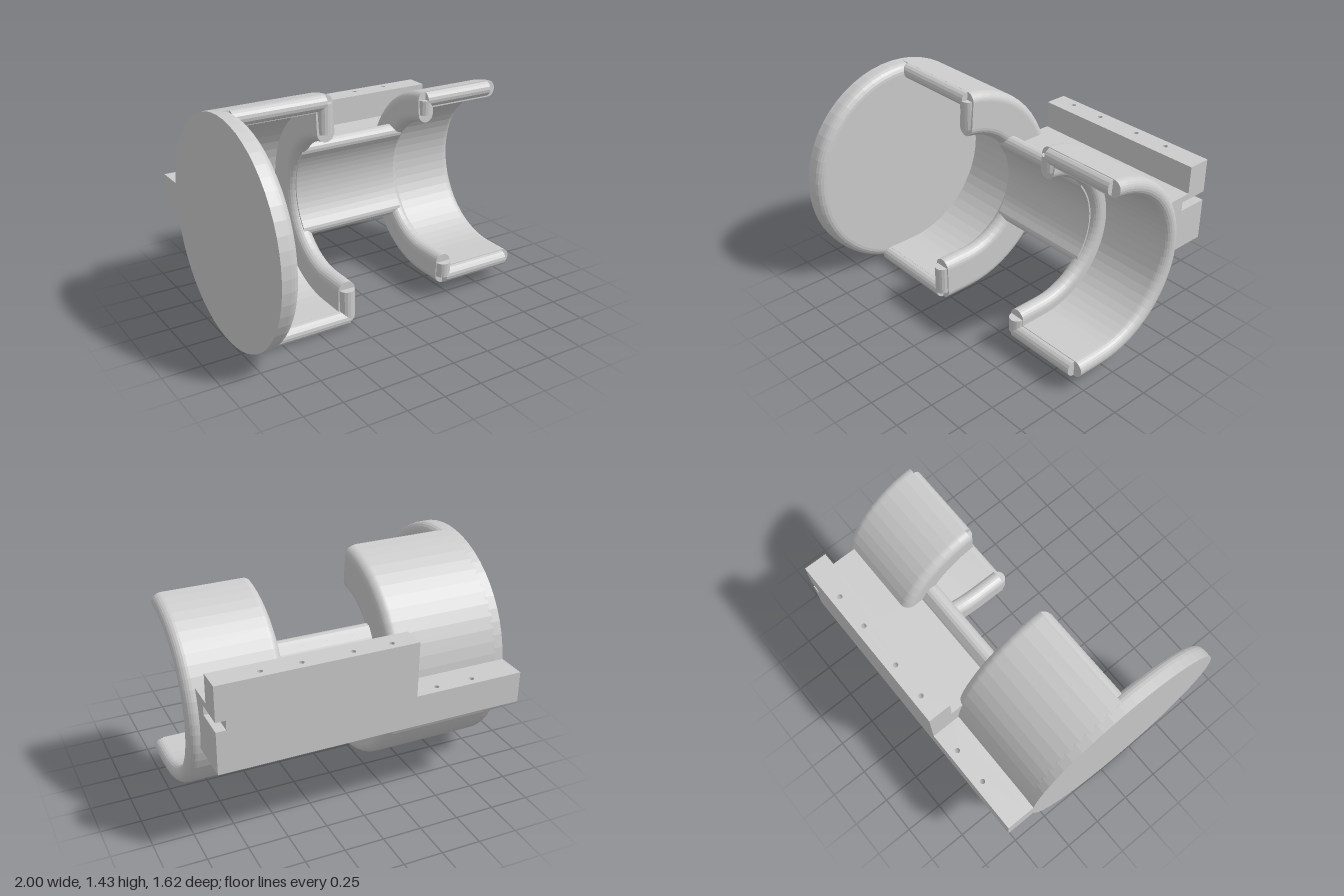
import * as THREE from 'three';

const CY = 0.72, CZ = 0.09; // axis of all clips (parallel to x)
const PI = Math.PI;

export function createModel() {
  const group = new THREE.Group();
  const mat = new THREE.MeshStandardMaterial({ color: 0xcccccc, flatShading: true });
  const add = (name, geo, x = 0, y = 0, z = 0) => {
    const m = new THREE.Mesh(geo, mat);
    m.name = name;
    m.position.set(x, y, z);
    group.add(m);
    return m;
  };

  // Sweep a closed (x, radius) section round the axis, then straight forward
  const sweep = (shape, a0, a1, forward, segs) => {
    const pts = shape.getPoints(6).filter((p, i, all) =>
      p.distanceTo(all[(i + 1) % all.length]) > 1e-5);
    const n = pts.length, pos = [], idx = [];
    const ring = (a, dz) => pts.forEach(p =>
      pos.push(p.x, CY + p.y * Math.cos(a), CZ - p.y * Math.sin(a) + dz));
    for (let j = 0; j <= segs; j++) ring(a0 + (a1 - a0) * j / segs, 0);
    if (forward) ring(a1, forward);
    const rings = pos.length / 3 / n;
    for (let j = 0; j < rings - 1; j++) {
      for (let i = 0; i < n; i++) {
        const a = j * n + i, b = j * n + (i + 1) % n;
        idx.push(a, a + n, b, b, a + n, b + n);
      }
    }
    const end = (rings - 1) * n;
    for (const [a, b, c] of THREE.ShapeUtils.triangulateShape(pts, [])) {
      idx.push(a, b, c, end + a, end + c, end + b);
    }
    const g = new THREE.BufferGeometry();
    g.setAttribute('position', new THREE.Float32BufferAttribute(pos, 3));
    g.setIndex(idx);
    g.computeVertexNormals();
    return g;
  };

  // Rolled lips on the open edges
  const lipX = (name, x0, x1, y, z) => {
    add(name, new THREE.CylinderGeometry(0.051, 0.051, x1 - x0, 16).rotateZ(PI / 2), (x0 + x1) / 2, y, z);
  };
  const lipY = (name, x, y0, y1, z) => {
    add(name, new THREE.CylinderGeometry(0.05, 0.05, y1 - y0, 16), x, (y0 + y1) / 2, z);
  };

  // End disc with a rounded inner rim
  const discProfile = [new THREE.Vector2(0, 0), new THREE.Vector2(0.715, 0)];
  for (let i = 0; i <= 5; i++) {
    const t = i / 5 * PI / 2;
    discProfile.push(new THREE.Vector2(0.655 + 0.06 * Math.cos(t), 0.06 + 0.06 * Math.sin(t)));
  }
  discProfile.push(new THREE.Vector2(0, 0.12));
  add('endDisc', new THREE.LatheGeometry(discProfile, 56).rotateZ(-PI / 2), -1, CY, CZ);

  // Large clip: wall plus inward flange
  const large = new THREE.Shape();
  large.moveTo(-0.95, 0.61);
  large.lineTo(-0.35, 0.61);
  large.lineTo(-0.35, 0.48);
  large.absarc(-0.29, 0.48, 0.06, PI, 2 * PI, false);
  large.lineTo(-0.23, 0.655);
  large.absarc(-0.29, 0.655, 0.06, 0, PI / 2, false);
  large.lineTo(-0.95, 0.715);
  large.closePath();
  add('largeClip', sweep(large, 0.08, PI, 0.19, 28));

  // Small clip: flange plus wall with a rounded outer rim
  const small = new THREE.Shape();
  small.moveTo(0.5, 0.51);
  small.lineTo(0.945, 0.51);
  small.absarc(0.945, 0.565, 0.055, -PI / 2, PI / 2, false);
  small.lineTo(0.445, 0.62);
  small.absarc(0.445, 0.565, 0.055, PI / 2, PI, false);
  small.lineTo(0.39, 0.475);
  small.absarc(0.445, 0.475, 0.055, PI, 2 * PI, false);
  small.closePath();
  add('smallClip', sweep(small, 0.08, PI, 0.19, 28));

  // Neck joining the two clips
  const neck = new THREE.Shape();
  neck.moveTo(-0.3, 0.41);
  neck.lineTo(0.45, 0.41);
  neck.lineTo(0.45, 0.51);
  neck.lineTo(-0.3, 0.51);
  neck.closePath();
  const neckA = 0.935;
  add('neck', sweep(neck, neckA, PI - neckA, 0, 14));

  for (const s of [1, -1]) {
    const z = s > 0 ? 0.03 : 0.28;
    lipX('largeClipLip', -0.9, -0.29, CY + s * 0.662, z);
    lipX('smallClipLip', 0.445, 0.94, CY + s * 0.565, z);
    lipX('neckLip', -0.3, 0.45, CY + s * 0.46 * Math.cos(neckA), CZ - 0.46 * Math.sin(neckA));
    for (const [x, r0, r1] of [[-0.29, 0.47, 0.66], [0.445, 0.47, 0.565]]) {
      lipY('flangeLip', x, Math.min(CY + s * r0, CY + s * r1), Math.max(CY + s * r0, CY + s * r1), z);
    }
  }

  // Mounting block in front of the rail, hollowed to meet each clip
  const block = (x0, x1, r, top, notch) => {
    const s = new THREE.Shape();
    s.moveTo(0.66, 0.6);
    if (notch) [[0.66, 0.87], [0.61, 0.87], [0.61, 0.93], [0.66, 0.93]].forEach(p => s.lineTo(...p));
    s.lineTo(0.66, top);
    s.absarc(-CZ, CY, r, Math.asin((top - CY) / r), Math.asin((0.6 - CY) / r), true);
    s.closePath();
    const g = new THREE.ExtrudeGeometry(s, { depth: x1 - x0, bevelEnabled: false, curveSegments: 8 });
    add('mountingBlock', g.rotateY(PI / 2), x0, 0, 0);
  };
  block(-1, -0.29, 0.66, 0.8, false);
  block(-0.29, 0.45, 0.46, 0.97, false);
  block(0.45, 0.87, 0.56, 0.97, false);
  block(0.87, 0.93, 0.56, 0.97, true);

  // Rail with vertical screw holes; the short middle layer leaves the end slot
  const rail = (x0, x1, y0, y1, holes) => {
    const s = new THREE.Shape();
    s.moveTo(x0, 0.66);
    s.lineTo(x1, 0.66);
    s.lineTo(x1, 0.81);
    s.lineTo(x0, 0.81);
    s.closePath();
    for (const x of holes) s.holes.push(new THREE.Path().absarc(x, 0.755, 0.016, 0, 2 * PI, true));
    const g = new THREE.ExtrudeGeometry(s, { depth: y1 - y0, bevelEnabled: false, curveSegments: 6 });
    add('mountingRail', g.rotateX(-PI / 2), 0, y0, 0);
  };
  rail(-1, -0.29, 0.6, 0.8, [-0.69, -0.45]);
  const tallHoles = [-0.14, 0.1, 0.41, 0.65];
  rail(-0.29, 0.93, 0.6, 0.87, tallHoles);
  rail(-0.29, 0.87, 0.87, 0.93, tallHoles);
  rail(-0.29, 0.93, 0.93, 1.15, tallHoles);

  return group;
}
